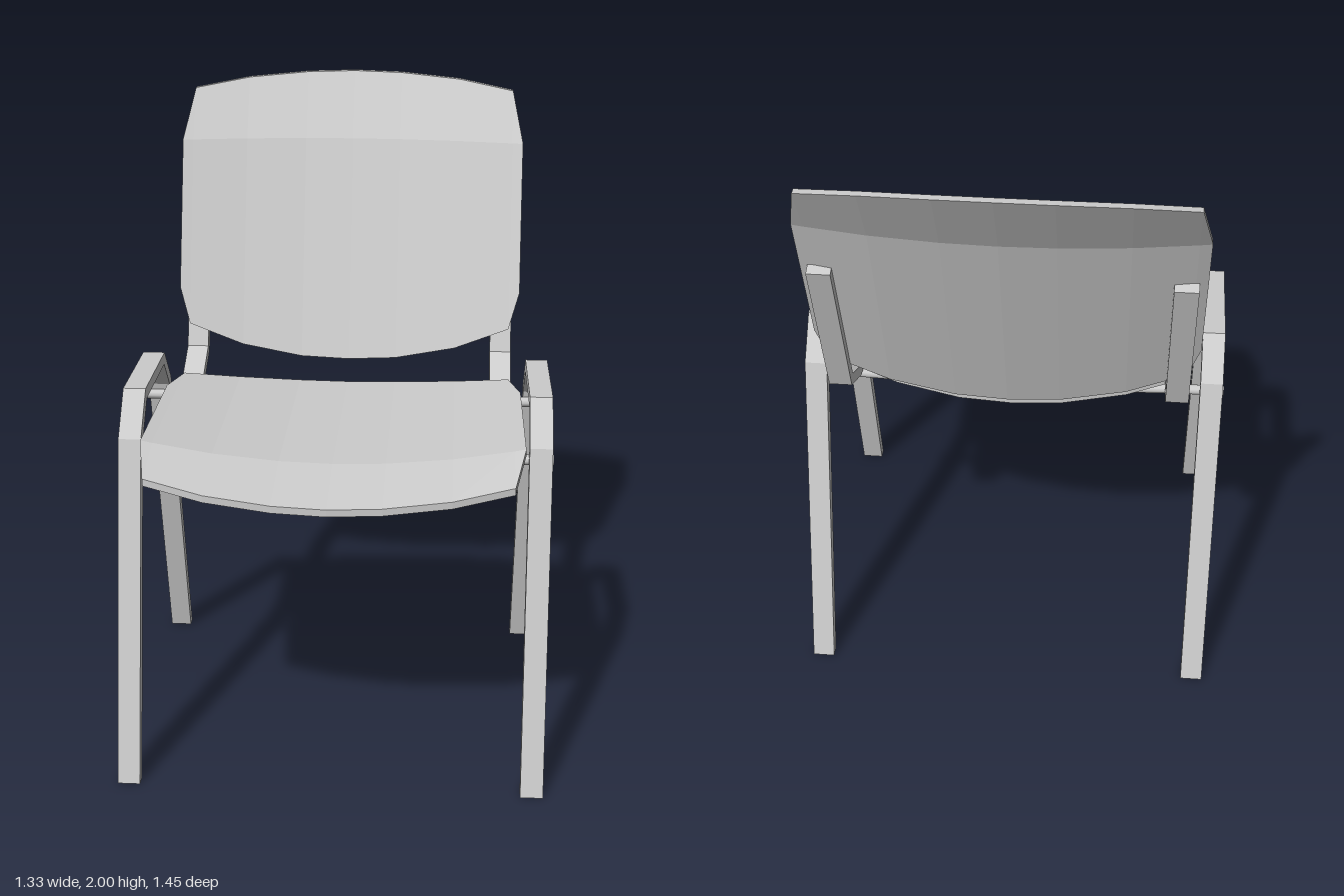
import * as THREE from 'three';

const material = new THREE.MeshStandardMaterial({ color: 0xcccccc, flatShading: true });
const smoothMaterial = new THREE.MeshStandardMaterial({ color: 0xcccccc });

function addMesh(parent, name, geometry, mat = material) {
  const mesh = new THREE.Mesh(geometry, mat);
  mesh.name = name;
  parent.add(mesh);
  return mesh;
}

// Flat bar of constant thickness along a [z, y] centreline, extruded across x.
// levelEnds cuts both ends horizontally, as for feet.
function bar(path, thickness, width, levelEnds = false) {
  const pts = path.map(([z, y]) => new THREE.Vector2(z, y));
  const last = pts.length - 1;
  const left = [], right = [];
  pts.forEach((p, i) => {
    const before = pts[Math.max(i, 1)].clone().sub(pts[Math.max(i, 1) - 1]).normalize();
    const j = Math.min(i, last - 1);
    const after = pts[j + 1].clone().sub(pts[j]).normalize();
    const normal = new THREE.Vector2(-before.y - after.y, before.x + after.x).normalize();
    if (levelEnds && (i === 0 || i === last)) normal.set(-Math.sign(after.y), 0);
    const miter = thickness / 2 / (-normal.x * before.y + normal.y * before.x);
    left.push(p.clone().addScaledVector(normal, miter));
    right.unshift(p.clone().addScaledVector(normal, -miter));
  });
  const shape = new THREE.Shape([...left, ...right]);
  const geometry = new THREE.ExtrudeGeometry(shape, { depth: width, bevelEnabled: false });
  return geometry.translate(0, 0, -width / 2).rotateY(-Math.PI / 2);
}

// Closed curved panel. Each half column is [x, low, high]; a and b are the bend
// rows shared by all columns, and place(x, t) gives a point of the first face.
function panel(half, a, b, place, offset) {
  const columns = [...half.slice(1).reverse().map(([x, lo, hi]) => [-x, lo, hi]), ...half];
  const rows = 4, nx = columns.length;
  const positions = [], index = [];
  for (const [dx, dy, dz] of [[0, 0, 0], offset]) {
    for (const [x, lo, hi] of columns) {
      for (const t of [lo, a, b, hi]) {
        const [px, py, pz] = place(x, t);
        positions.push(px + dx, py + dy, pz + dz);
      }
    }
  }
  const shift = nx * rows;
  const at = (i, j) => i * rows + j;
  for (let i = 0; i < nx - 1; i++) {
    for (let j = 0; j < rows - 1; j++) {
      const p = at(i, j), q = at(i, j + 1), r = at(i + 1, j), s = at(i + 1, j + 1);
      index.push(p, q, r, q, s, r);
      index.push(p + shift, r + shift, q + shift, q + shift, r + shift, s + shift);
    }
  }
  // rim around the outline
  const loop = [];
  for (let j = 0; j < rows - 1; j++) loop.push(at(0, j));
  for (let i = 0; i < nx - 1; i++) loop.push(at(i, rows - 1));
  for (let j = rows - 1; j > 0; j--) loop.push(at(nx - 1, j));
  for (let i = nx - 1; i > 0; i--) loop.push(at(i, 0));
  loop.forEach((p, k) => {
    const q = loop[(k + 1) % loop.length];
    index.push(q, p, p + shift, q, p + shift, q + shift);
  });
  const indexed = new THREE.BufferGeometry();
  indexed.setAttribute('position', new THREE.Float32BufferAttribute(positions, 3));
  indexed.setIndex(index);
  const geometry = indexed.toNonIndexed();
  geometry.computeVertexNormals();
  return geometry;
}

export function createModel() {
  const chair = new THREE.Group();
  chair.name = 'chair';
  const curve = (x) => (x / 0.57) ** 2;

  // Seat: dished across, with a front lip that bends down
  const seatHalf = [
    [0, -0.27, 0.72], [0.16, -0.263, 0.713], [0.36, -0.228, 0.69],
    [0.54, -0.17, 0.65], [0.575, -0.022, 0.472],
  ];
  addMesh(chair, 'seat', panel(seatHalf, -0.02, 0.47, (x, z) => {
    const lip = Math.max(0, z - 0.47) * (0.16 + 0.08 * curve(x));
    return [x, 1.02 + 0.06 * curve(x) - lip, z];
  }, [0, -0.022, 0]));

  // Backrest: same form, leaning back and bending further at the top
  const backHalf = [
    [0, 1.08, 2], [0.16, 1.088, 1.996], [0.36, 1.128, 1.98],
    [0.54, 1.2, 1.95], [0.575, 1.318, 1.792],
  ];
  addMesh(chair, 'backrest', panel(backHalf, 1.32, 1.79, (x, y) => {
    const lean = 0.347 * (Math.min(y, 1.79) - 1.08) + 0.58 * Math.max(0, y - 1.79);
    return [x, y, -0.358 - lean + 0.06 * curve(x)];
  }, [0, 0, 0.025]));

  // Side frames (legs and raised top in one bar) and backrest supports
  const framePath = [[0.632, 0], [0.367, 1.04], [0.262, 1.155], [-0.077, 1.155], [-0.175, 1.045], [-0.43, 0]];
  const supportPath = [[0.46, 1.036], [-0.19, 1.036], [-0.335, 1.108], [-0.512, 1.625]];
  for (const [side, label] of [[1, 'left'], [-1, 'right']]) {
    addMesh(chair, label + 'SideFrame', bar(framePath, 0.036, 0.07, true)).position.x = side * 0.625;
    addMesh(chair, label + 'BackSupport', bar(supportPath, 0.034, 0.07)).position.x = side * 0.515;
  }

  // Crossbars under the seat, sagging slightly to the middle
  for (const [z, name] of [[0.355, 'frontCrossbar'], [-0.155, 'rearCrossbar']]) {
    const points = [[-0.665, 1.002], [-0.5, 1], [0, 0.982], [0.5, 1], [0.665, 1.002]];
    const path = new THREE.CatmullRomCurve3(points.map(([x, y]) => new THREE.Vector3(x, y, z)));
    addMesh(chair, name, new THREE.TubeGeometry(path, 16, 0.016, 10), smoothMaterial);
    for (const side of [1, -1]) {
      const cap = new THREE.CircleGeometry(0.016, 10).rotateY(side * Math.PI / 2);
      addMesh(chair, name + 'Cap', cap).position.set(side * 0.665, 1.002, z);
    }
  }
  return chair;
}
